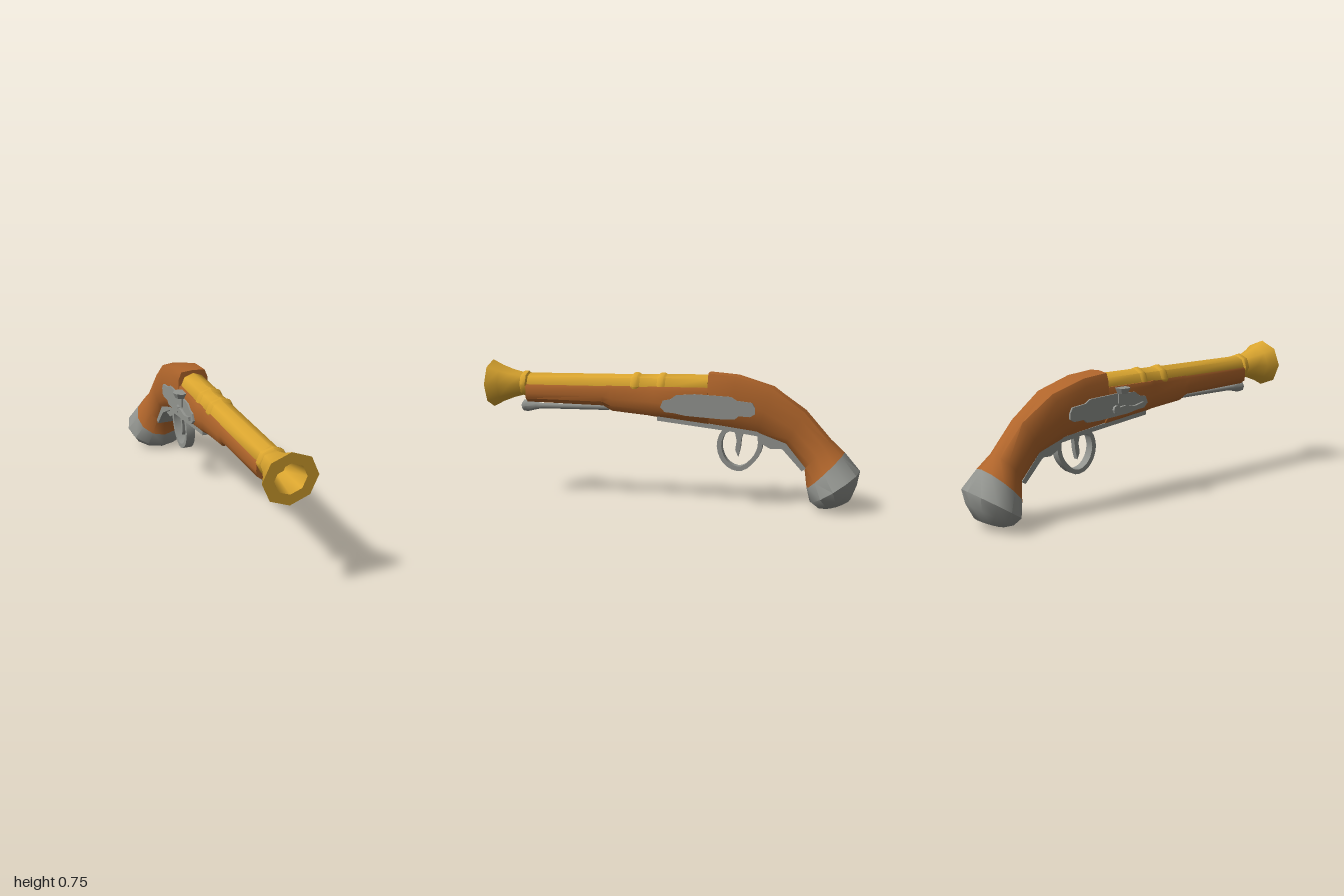
import * as THREE from 'three';
import { toCreasedNormals } from 'three/addons/utils/BufferGeometryUtils.js';

const paint = (color) => new THREE.MeshStandardMaterial({ color, side: THREE.DoubleSide });

export function createModel() {
  const group = new THREE.Group();
  const wood = paint(0xb0652b), brass = paint(0xdaa52f), steel = paint(0x92948f);

  const add = (name, geometry, material, crease = 0.6) => {
    const mesh = new THREE.Mesh(toCreasedNormals(geometry, crease), material);
    mesh.name = name;
    group.add(mesh);
    return mesh;
  };

  // Half cross-sections from top to bottom: boxy fore-end and round grip
  const boxy = [[0, 1], [0.9, 1], [1, 0.75], [1, 0], [0.93, -0.55], [0.55, -0.95], [0, -1]];
  const round = boxy.map((_, i) => [Math.sin(i * Math.PI / 6), Math.cos(i * Math.PI / 6)]);

  // Station: [topZ, topY, bottomZ, bottomY, halfWidth, roundness]
  function loft(stations) {
    const n = 12, pos = [], index = [];
    for (const [tz, ty, bz, by, w, k] of stations) {
      for (let j = 0; j < n; j++) {
        const i = j <= 6 ? j : n - j, side = j <= 6 ? 1 : -1;
        const px = THREE.MathUtils.lerp(boxy[i][0], round[i][0], k);
        const t = (1 - THREE.MathUtils.lerp(boxy[i][1], round[i][1], k)) / 2;
        pos.push(side * px * w, ty + (by - ty) * t, tz + (bz - tz) * t);
      }
    }
    const last = (stations.length - 1) * n;
    for (let s = 0; s < last; s += n) {
      for (let j = 0; j < n; j++) {
        const a = s + j, b = s + (j + 1) % n;
        index.push(a, b, a + n, b, b + n, a + n);
      }
    }
    for (let j = 1; j < n - 1; j++) {
      index.push(0, j + 1, j, last, last + j, last + j + 1);
    }
    const g = new THREE.BufferGeometry();
    g.setAttribute('position', new THREE.Float32BufferAttribute(pos, 3));
    g.setIndex(index);
    return g;
  }

  // Flat part drawn as [z, y] points, with its thickness along x
  function slab(points, width, x = 0) {
    const shape = new THREE.Shape(points.map(([z, y]) => new THREE.Vector2(z, y)));
    const g = new THREE.ExtrudeGeometry(shape, { depth: width, bevelEnabled: false });
    return g.rotateY(-Math.PI / 2).translate(x + width / 2, 0, 0);
  }

  // Strip of even thickness along a curve in the z-y plane
  function strip(points, thickness, width, divisions, x = 0) {
    const curve = new THREE.SplineCurve(points.map(([z, y]) => new THREE.Vector2(z, y)));
    const outer = [], inner = [];
    for (let i = 0; i <= divisions; i++) {
      const p = curve.getPoint(i / divisions), t = curve.getTangent(i / divisions);
      const dx = -t.y * thickness / 2, dy = t.x * thickness / 2;
      outer.push([p.x + dx, p.y + dy]);
      inner.unshift([p.x - dx, p.y - dy]);
    }
    return slab([...outer, ...inner], width, x);
  }

  // Turned part along z, given as [radius, z]
  const turned = (profile, sides) => new THREE.LatheGeometry(
    profile.map(([r, z]) => new THREE.Vector2(r, z)), sides).rotateX(Math.PI / 2);

  // Wooden stock with a step behind the barrel
  add('stock', loft([
    [0.79, 0.62, 0.79, 0.52, 0.07, 0],
    [0.36, 0.62, 0.36, 0.508, 0.07, 0],
    [0.31, 0.62, 0.31, 0.48, 0.072, 0],
    [0.11, 0.62, 0.11, 0.46, 0.073, 0],
    [0.07, 0.62, 0.07, 0.455, 0.086, 0],
    [-0.215, 0.62, -0.215, 0.42, 0.086, 0],
    [-0.217, 0.70, -0.217, 0.42, 0.086, 0.3],
    [-0.36, 0.687, -0.34, 0.40, 0.086, 0.3],
    [-0.55, 0.63, -0.47, 0.375, 0.084, 0.4],
    [-0.72, 0.51, -0.61, 0.315, 0.076, 0.7],
    [-0.85, 0.36, -0.715, 0.205, 0.087, 0.9],
    [-0.92, 0.295, -0.728, 0.102, 0.138, 1],
  ]), wood, 0.75);

  // Flared steel butt cap
  add('buttCap', loft([
    [-0.92, 0.295, -0.728, 0.102, 0.138, 1],
    [-1.0, 0.2, -0.745, 0.03, 0.185, 1],
    [-0.985, 0.125, -0.785, 0.002, 0.155, 1],
    [-0.955, 0.05, -0.82, 0, 0.09, 1],
  ]), steel, 0.9);

  // Eight-sided barrel with rings, belled muzzle and bore
  const barrel = add('barrel', turned([
    [0, -0.216], [0.07, -0.216], [0.07, 0.015], [0.077, 0.025], [0.077, 0.045], [0.067, 0.06],
    [0.067, 0.155], [0.076, 0.168], [0.076, 0.19], [0.065, 0.205],
    [0.064, 0.785], [0.075, 0.792], [0.075, 0.815], [0.067, 0.825],
    [0.082, 0.88], [0.106, 0.94], [0.138, 1], [0.081, 1], [0.046, 0.86], [0, 0.86],
  ], 8), brass, 0.85);
  barrel.scale.y = 0.94;
  barrel.position.y = 0.618;

  // Ramrod under the fore-end
  const rod = add('ramrod', turned([
    [0, 0.34], [0.015, 0.34], [0.015, 0.72], [0.02, 0.75], [0.032, 0.8], [0.03, 0.825], [0.015, 0.835], [0, 0.835],
  ], 8), steel, 0.8);
  rod.position.y = 0.497;

  // Scalloped plates on both sides
  const plate = [
    [0.035, 0.515], [0.02, 0.55], [-0.02, 0.558], [-0.05, 0.58], [-0.15, 0.587], [-0.34, 0.577],
    [-0.37, 0.558], [-0.45, 0.548], [-0.465, 0.52], [-0.465, 0.49], [-0.44, 0.475], [-0.38, 0.478],
    [-0.36, 0.46], [-0.29, 0.46], [-0.1, 0.473], [-0.04, 0.485], [0.01, 0.49],
  ];
  add('leftSidePlate', slab(plate, 0.016, 0.085), steel);
  add('rightLockPlate', slab(plate, 0.016, -0.087), steel);

  // Lock spring and pan on the right side
  add('lockSpring', strip([[0.0, 0.515], [-0.07, 0.5], [-0.13, 0.51], [-0.19, 0.495]], 0.02, 0.02, 8, -0.098), steel);
  add('lockPivot', new THREE.CylinderGeometry(0.022, 0.022, 0.02, 8).rotateZ(Math.PI / 2)
    .translate(-0.1, 0.505, -0.18), steel);
  add('pan', new THREE.CylinderGeometry(0.042, 0.028, 0.03, 8).translate(-0.1, 0.6, -0.14), steel);
  add('panSupport', new THREE.BoxGeometry(0.025, 0.06, 0.05).translate(-0.092, 0.565, -0.14), steel);

  // Trigger plate, guard, trigger and grip strap
  add('triggerPlate', slab([
    [0.06, 0.465], [0.06, 0.438], [-0.33, 0.392], [-0.48, 0.37], [-0.48, 0.395], [-0.33, 0.415],
  ], 0.1), steel);
  add('triggerGuard', strip([
    [-0.32, 0.4], [-0.285, 0.375], [-0.268, 0.31], [-0.29, 0.24], [-0.34, 0.198],
    [-0.4, 0.198], [-0.46, 0.255], [-0.485, 0.32], [-0.48, 0.38],
  ], 0.024, 0.05, 20), steel);
  add('guardBrace', slab([
    [-0.475, 0.385], [-0.49, 0.33], [-0.54, 0.302], [-0.61, 0.305], [-0.59, 0.34],
  ], 0.05), steel);
  add('gripStrap', slab([
    [-0.46, 0.385], [-0.49, 0.365], [-0.605, 0.305], [-0.705, 0.195], [-0.725, 0.21], [-0.62, 0.34], [-0.5, 0.395],
  ], 0.096), steel);
  add('trigger', slab([
    [-0.345, 0.41], [-0.36, 0.34], [-0.353, 0.29], [-0.368, 0.255], [-0.38, 0.3], [-0.385, 0.35], [-0.4, 0.4],
  ], 0.03), steel);

  return group;
}
